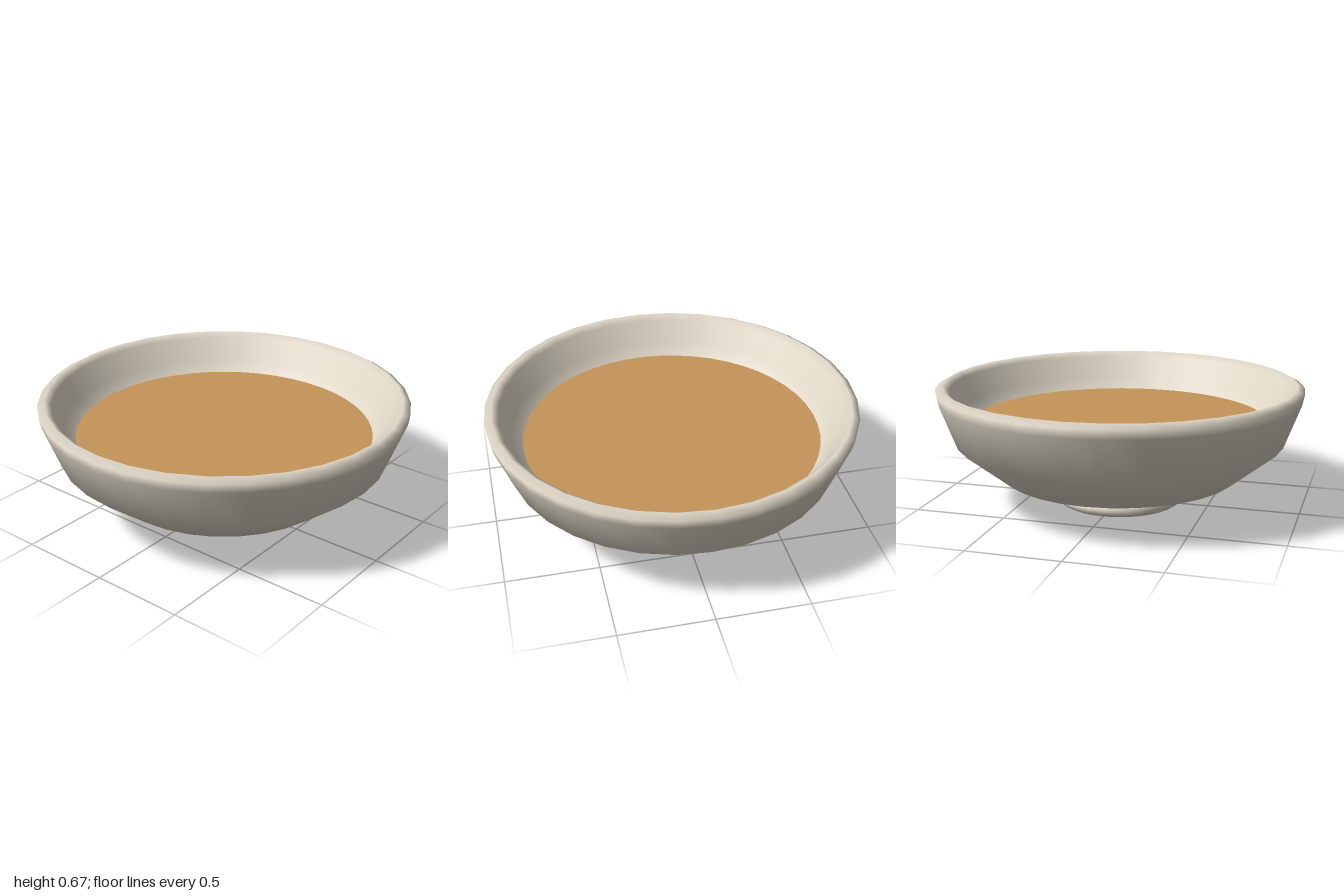
import * as THREE from 'three';

export function createModel() {
  const group = new THREE.Group();
  const ceramic = new THREE.MeshStandardMaterial({ color: 0xe0d8c8 });
  ceramic.name = 'cream ceramic';
  const broth = new THREE.MeshStandardMaterial({ color: 0xc6955a });
  broth.name = 'golden broth';

  const add = (name, geometry, material) => {
    const mesh = new THREE.Mesh(geometry, material);
    mesh.name = name;
    group.add(mesh);
    return mesh;
  };

  // Bowl wall: up the outside, over the rounded rim, down the inside
  const profile = [
    [0, 0.07], [0.29, 0.07], [0.35, 0.072], [0.65, 0.16], [0.9, 0.36],
    [0.99, 0.6], [1, 0.65], [0.96, 0.672], [0.925, 0.645], [0.865, 0.52],
    [0.8, 0.44], [0.6, 0.26], [0.3, 0.15], [0, 0.13],
  ].map(([r, y]) => new THREE.Vector2(r, y));
  add('bowl', new THREE.LatheGeometry(profile, 32), ceramic);

  // Foot ring under the bowl
  const foot = new THREE.TorusGeometry(0.318, 0.037, 10, 32);
  foot.rotateX(Math.PI / 2);
  add('footRing', foot, ceramic).position.y = 0.037;

  // Flat surface of the contents
  const surface = new THREE.CircleGeometry(0.81, 48);
  surface.rotateX(-Math.PI / 2);
  add('brothSurface', surface, broth).position.y = 0.46;

  return group;
}
